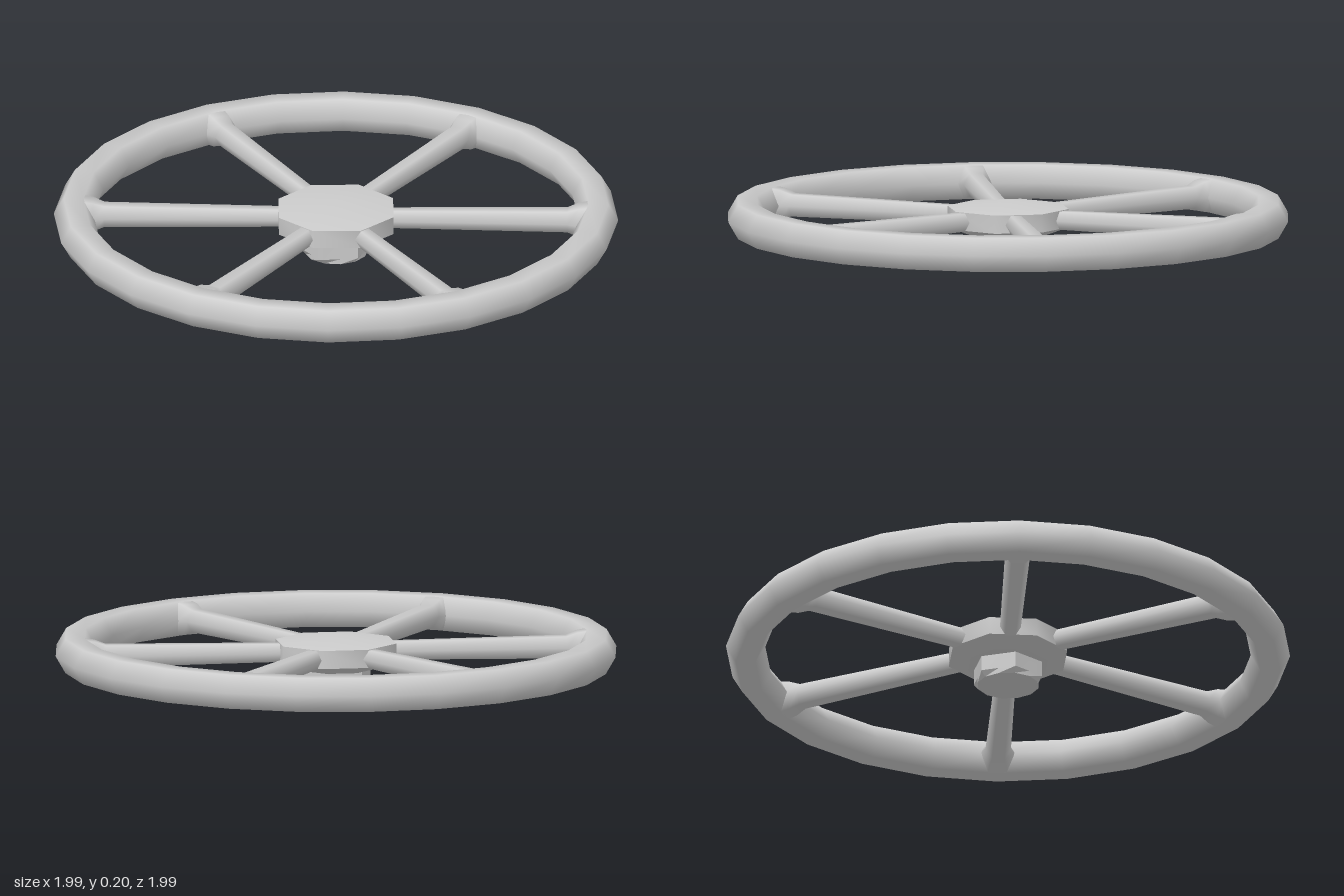
import * as THREE from 'three';
import { toCreasedNormals } from 'three/addons/utils/BufferGeometryUtils.js';

const MID = 0.135; // height of the wheel's centre plane
const material = new THREE.MeshStandardMaterial({ color: 0xcccccc });

function add(parent, name, geometry) {
  const mesh = new THREE.Mesh(geometry, material);
  mesh.name = name;
  parent.add(mesh);
  return mesh;
}

// Lathe from [radius, height] pairs
function lathe(points, sides) {
  return new THREE.LatheGeometry(points.map(([r, y]) => new THREE.Vector2(r, y)), sides);
}

// Hexagonal nut whose lower corners are trimmed to a circle, as rings of 12 points
function nutGeometry(apothem, top, chamfer) {
  const corner = apothem / Math.cos(Math.PI / 6);
  const rings = [[0, 0, 0], [apothem, apothem, 0], [corner, apothem, chamfer], [corner, apothem, top]];
  const positions = [];
  const index = [];
  rings.forEach(([even, odd, y]) => {
    for (let i = 0; i < 12; i++) {
      const a = (i * Math.PI) / 6;
      const r = i % 2 ? odd : even;
      positions.push(r * Math.sin(a), y, r * Math.cos(a));
    }
  });
  for (let k = 0; k < rings.length - 1; k++) {
    for (let i = 0; i < 12; i++) {
      const a = k * 12 + i;
      const b = k * 12 + ((i + 1) % 12);
      if (k > 0) index.push(a, b, b + 12);
      index.push(a, b + 12, a + 12);
    }
  }
  const geometry = new THREE.BufferGeometry();
  geometry.setAttribute('position', new THREE.Float32BufferAttribute(positions, 3));
  geometry.setIndex(index);
  return toCreasedNormals(geometry, 0.45);
}

export function createModel() {
  const model = new THREE.Group();
  model.name = 'handwheel';

  // Rim and spokes share one turn about the axle
  const wheel = new THREE.Group();
  wheel.name = 'wheel';
  wheel.position.y = MID;
  wheel.rotation.y = THREE.MathUtils.degToRad(20);
  model.add(wheel);

  const rim = new THREE.TorusGeometry(0.93, 0.07, 6, 24);
  rim.rotateX(Math.PI / 2);
  add(wheel, 'rim', rim);

  // Six-sided spokes, flaring where they meet the rim
  const spoke = lathe([[0.036, 0.12], [0.045, 0.82], [0.062, 0.86], [0.069, 0.9]], 6);
  spoke.rotateZ(-Math.PI / 2);
  for (let i = 0; i < 6; i++) {
    add(wheel, 'spoke', spoke).rotation.y = (i * Math.PI) / 3;
  }

  // Octagonal hub with a shallow domed top and tapered underside
  const hub = lathe([[0, 0.075], [0.14, 0.075], [0.22, 0.105], [0.22, 0.17], [0, 0.195]], 8);
  add(model, 'hub', toCreasedNormals(hub, 0.85));

  // Nut under the hub
  add(model, 'nut', nutGeometry(0.11, 0.09, 0.02));

  return model;
}
